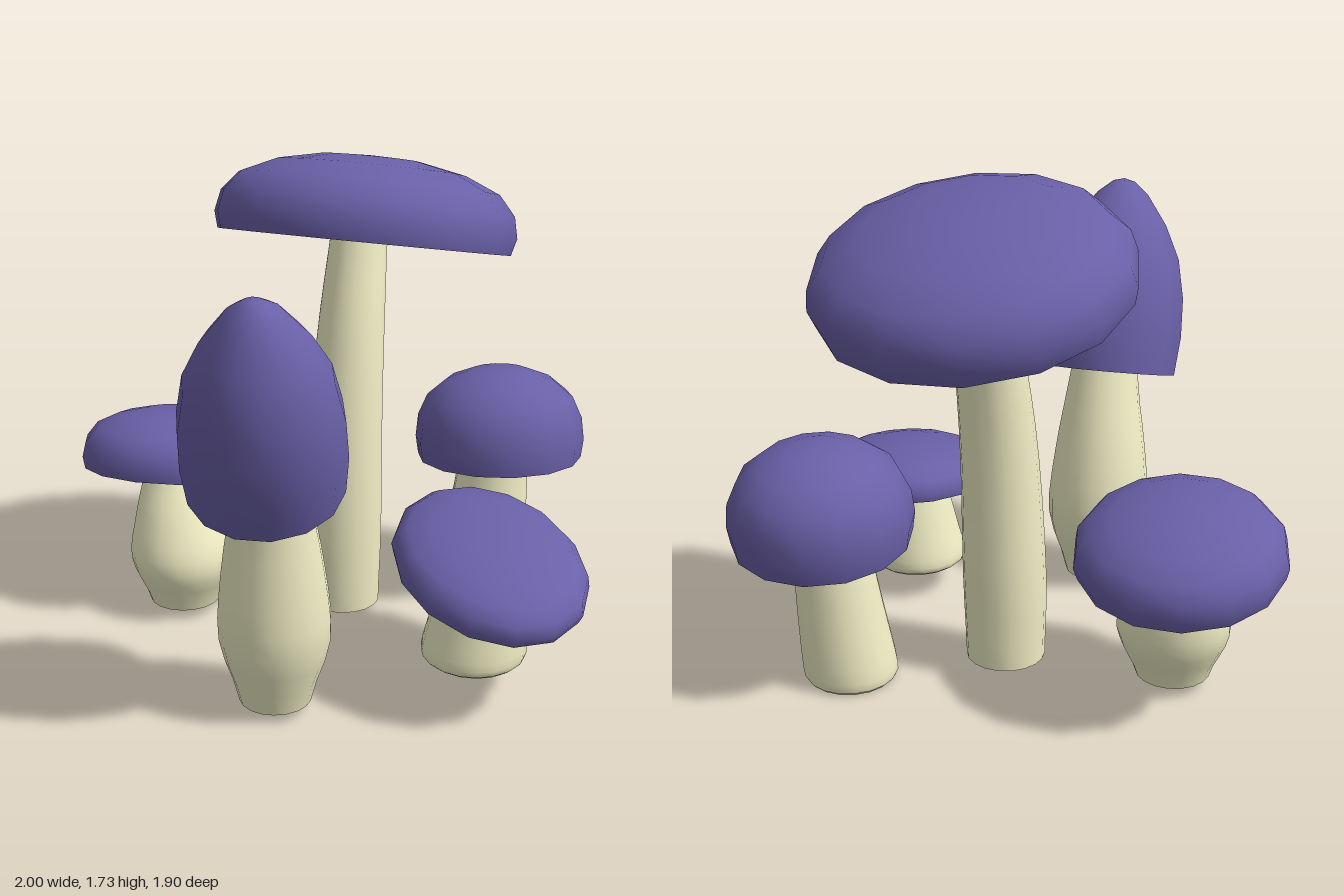
import * as THREE from 'three';
import { mergeVertices } from 'three/addons/utils/BufferGeometryUtils.js';

const CAP_SIDES = 14;
const capMat = new THREE.MeshStandardMaterial({ color: 0x6a60a8 });
const stemMat = new THREE.MeshStandardMaterial({ color: 0xf2f0c6 });
const gillMat = new THREE.MeshStandardMaterial({ color: 0x8fa800, flatShading: true });

const DOME = [[0.97, 0], [1, 0.2], [0.97, 0.45], [0.86, 0.68], [0.63, 0.86], [0.33, 0.97], [0, 1]];
const BELL = [[0.95, 0], [1, 0.2], [0.98, 0.4], [0.87, 0.6], [0.65, 0.77], [0.36, 0.92], [0.15, 0.985], [0, 1]];

function smooth(geometry) {
  geometry.deleteAttribute('uv');
  geometry.deleteAttribute('normal');
  const merged = mergeVertices(geometry, 1e-4);
  merged.computeVertexNormals();
  return merged;
}

function addMesh(parent, name, geometry, material) {
  const mesh = new THREE.Mesh(geometry, material);
  mesh.name = name;
  parent.add(mesh);
  return mesh;
}

// Stem: a lathe whose rings follow a bent path; each row is x, y, z, radius
function addStem(parent, rows) {
  const path = new THREE.CatmullRomCurve3(rows.map(([x, y, z]) => new THREE.Vector3(x, y, z)), false, 'catmullrom', 0.5);
  const radii = new THREE.SplineCurve(rows.map((r, i) => new THREE.Vector2(r[3], i)));
  const steps = 12;
  const profile = [];
  for (let i = 0; i <= steps; i++) profile.push(new THREE.Vector2(radii.getPoint(i / steps).x, i / steps));
  const geometry = new THREE.LatheGeometry(profile, 18);
  const pos = geometry.attributes.position;
  for (let i = 0; i < pos.count; i++) {
    const c = path.getPoint(pos.getY(i));
    pos.setXYZ(i, pos.getX(i) + c.x, c.y, pos.getZ(i) + c.z);
  }
  addMesh(parent, 'stem', smooth(geometry), stemMat);

  const [x, y, z, r] = rows[0];
  const base = addMesh(parent, 'stemBase', new THREE.CircleGeometry(r, 18), stemMat);
  base.rotation.x = Math.PI / 2;
  base.position.set(x, y, z);
}

// Gills: a hollow cone of radial pleats, cut to the outline of the cap rim
function gillGeometry(rim, depth) {
  const radii = [0.02, 0.5 * rim, 0.92 * rim, rim];
  const profile = radii.map((r) => new THREE.Vector2(r, depth * (1 - r / rim)));
  const geometry = new THREE.LatheGeometry(profile, CAP_SIDES * 6);
  const pos = geometry.attributes.position;
  const half = Math.PI / CAP_SIDES;
  for (let i = 0; i < pos.count; i++) {
    const spoke = Math.floor(i / radii.length);
    const ring = i % radii.length;
    const angle = (spoke % 6) / 6 * 2 * half - half;
    const k = Math.cos(half) / Math.cos(angle);
    const raise = spoke % 2 && (ring === 1 || ring === 2) ? 0.022 : 0;
    pos.setXYZ(i, pos.getX(i) * k, pos.getY(i) + raise, pos.getZ(i) * k);
  }
  return geometry;
}

// Cap: dome and gills, tilted so its axis points along `axis`
function addCap(parent, { center, axis, rx, rz, height, depth, yaw = 0, profile = DOME }) {
  const cap = new THREE.Group();
  cap.name = 'cap';
  const points = profile.map(([r, h]) => new THREE.Vector2(r, h));
  const dome = new THREE.LatheGeometry(points, CAP_SIDES).scale(rx, height, rz).rotateY(yaw);
  addMesh(cap, 'capDome', smooth(dome), capMat);
  const gills = gillGeometry(profile[0][0], depth).scale(rx, 1, rz).rotateY(yaw);
  gills.computeVertexNormals();
  addMesh(cap, 'gills', gills, gillMat);
  cap.position.set(...center);
  cap.quaternion.setFromUnitVectors(new THREE.Vector3(0, 1, 0), new THREE.Vector3(...axis).normalize());
  parent.add(cap);
}

const MUSHROOMS = [
  {
    name: 'tallMushroom',
    stem: [[-0.01, 0.045, -0.24, 0.138], [-0.01, 0.35, -0.243, 0.145], [-0.005, 0.8, -0.262, 0.133],
      [0, 1.15, -0.307, 0.118], [0, 1.49, -0.39, 0.1]],
    cap: { center: [0.015, 1.395, -0.365], axis: [0, 0.964, -0.266], rx: 0.545, rz: 0.52, height: 0.305, depth: 0.1 },
  },
  {
    name: 'bellMushroom',
    stem: [[0.035, 0.035, 0.52, 0.122], [0.037, 0.27, 0.523, 0.188], [0.04, 0.52, 0.54, 0.172],
      [0.05, 0.8, 0.578, 0.13], [0.06, 1.05, 0.65, 0.11]],
    cap: { center: [0.04, 0.835, 0.59], axis: [0.09, 1, 0.33], rx: 0.27, rz: 0.268, height: 0.72, depth: 0.2, profile: BELL },
  },
  {
    name: 'bulbMushroom',
    stem: [[-0.57, 0.04, -0.045, 0.13], [-0.572, 0.21, -0.05, 0.196], [-0.59, 0.38, -0.08, 0.17],
      [-0.63, 0.58, -0.135, 0.115]],
    cap: { center: [-0.64, 0.515, -0.155], axis: [-0.04, 1, -0.2], rx: 0.362, rz: 0.355, height: 0.225, depth: 0.07 },
  },
  {
    name: 'roundMushroom',
    stem: [[0.42, 0, -0.575, 0.15], [0.422, 0.045, -0.577, 0.166], [0.445, 0.3, -0.595, 0.148],
      [0.465, 0.62, -0.618, 0.125]],
    cap: { center: [0.475, 0.545, -0.63], axis: [-0.05, 1, -0.095], rx: 0.315, rz: 0.32, height: 0.34, depth: 0.09 },
  },
  {
    name: 'shortMushroom',
    stem: [[0.61, 0.1, 0.125, 0.155], [0.61, 0.135, 0.125, 0.182], [0.625, 0.28, 0.118, 0.165],
      [0.64, 0.46, 0.11, 0.142]],
    cap: { center: [0.65, 0.425, 0.12], axis: [0.14, 1, 0.14], rx: 0.415, rz: 0.32, height: 0.165, depth: 0.045, yaw: -0.9 },
  },
];

export function createModel() {
  const model = new THREE.Group();
  model.name = 'mushroomCluster';
  for (const { name, stem, cap } of MUSHROOMS) {
    const mushroom = new THREE.Group();
    mushroom.name = name;
    addStem(mushroom, stem);
    addCap(mushroom, cap);
    model.add(mushroom);
  }
  return model;
}
